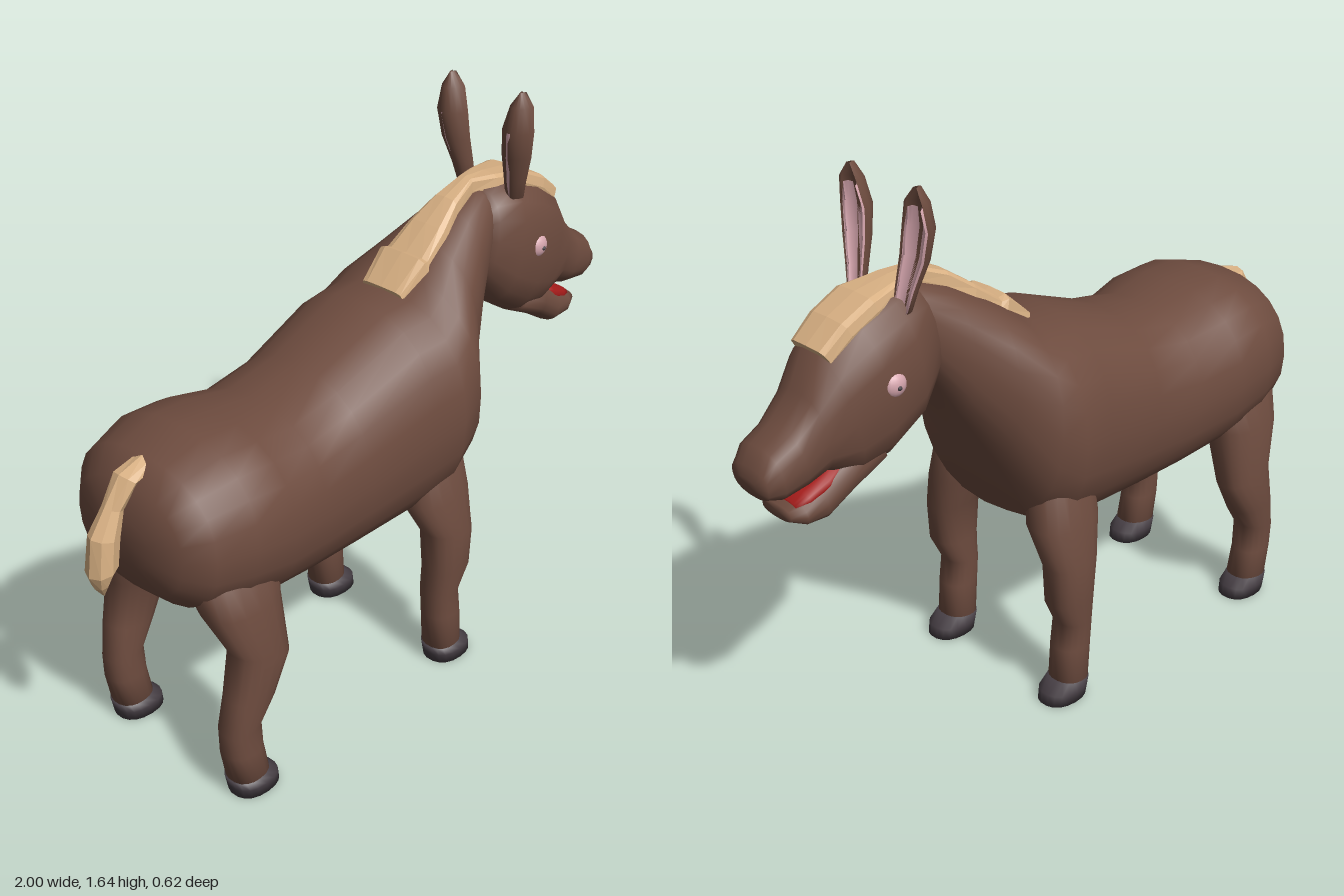
import * as THREE from 'three';

const paint = (name, color, flat = false) => {
  const m = new THREE.MeshStandardMaterial({ color, flatShading: flat });
  m.name = name;
  return m;
};

// Loft through rings. Each row: [ax, ay, bx, by, halfWidth, zCentre];
// a and b are opposite ends of the ring in the side plane.
// power squares the ring off; cup folds the b half inwards into a hollow.
function loft(rows, { sides = 18, power = 2.3, cup = 0 } = {}) {
  const pos = [], idx = [];
  const bend = (v) => Math.sign(v) * Math.abs(v) ** (2 / power);
  for (const [ax, ay, bx, by, w, zc = 0] of rows) {
    for (let i = 0; i < sides; i++) {
      const t = (i / sides) * Math.PI * 2;
      let v = bend(Math.sin(t));
      if (cup && v < 0) v *= -cup;
      pos.push((ax + bx) / 2 + ((ax - bx) / 2) * v, (ay + by) / 2 + ((ay - by) / 2) * v, zc + w * bend(Math.cos(t)));
    }
  }
  const last = (rows.length - 1) * sides, c0 = rows.length * sides;
  for (const [ax, ay, bx, by, , zc = 0] of [rows[0], rows[rows.length - 1]]) {
    const k = cup ? (1 + cup) / 2 : 0;
    pos.push((ax + bx) / 2 + ((ax - bx) / 2) * k, (ay + by) / 2 + ((ay - by) / 2) * k, zc);
  }
  for (let i = 0; i < sides; i++) {
    const j = (i + 1) % sides;
    for (let r = 0; r < last; r += sides) {
      idx.push(r + i, r + sides + i, r + sides + j, r + i, r + sides + j, r + j);
    }
    idx.push(c0, i, j, c0 + 1, last + j, last + i);
  }
  const g = new THREE.BufferGeometry();
  g.setAttribute('position', new THREE.Float32BufferAttribute(pos, 3));
  g.setIndex(idx);
  g.computeVertexNormals();
  return g;
}

export function createModel() {
  const group = new THREE.Group();
  const coat = paint('brownCoat', 0x6e4c3f);
  const hair = paint('sandyHair', 0xd8b083, true);
  const pink = paint('pinkSkin', 0xd6a6ae);
  const horn = paint('darkHoof', 0x463e44);
  const red = paint('redMouth', 0xa51c1a);
  const add = (name, geometry, material) => {
    const m = new THREE.Mesh(geometry, material);
    m.name = name;
    group.add(m);
    return m;
  };

  // Barrel, chest and neck
  add('body', loft([
    [-0.885, 0.86, -0.88, 0.72, 0.1],
    [-0.86, 0.95, -0.86, 0.64, 0.2],
    [-0.8, 1.01, -0.8, 0.58, 0.265],
    [-0.68, 1.045, -0.7, 0.55, 0.3],
    [-0.56, 1.04, -0.56, 0.52, 0.305],
    [-0.42, 1.015, -0.4, 0.49, 0.275],
    [-0.25, 1.05, -0.22, 0.48, 0.272],
    [0, 1.145, -0.02, 0.49, 0.3],
    [0.1, 1.15, 0.1, 0.515, 0.31],
    [0.16, 1.19, 0.2, 0.58, 0.295],
    [0.25, 1.25, 0.27, 0.76, 0.215],
    [0.36, 1.31, 0.36, 0.92, 0.15],
    [0.46, 1.345, 0.44, 1.07, 0.1],
    [0.52, 1.33, 0.52, 1.14, 0.09],
  ], { sides: 24 }), coat);

  // Skull running into the upper muzzle
  add('head', loft([
    [0.44, 1.28, 0.42, 1.12, 0.06],
    [0.475, 1.345, 0.435, 1.06, 0.12],
    [0.57, 1.355, 0.5, 0.97, 0.148],
    [0.68, 1.315, 0.6, 0.905, 0.145],
    [0.78, 1.245, 0.69, 0.885, 0.127],
    [0.83, 1.15, 0.79, 0.925, 0.107],
    [0.9, 1.08, 0.855, 0.905, 0.096],
    [0.96, 1.045, 0.93, 0.895, 0.092],
    [0.99, 1.0, 0.978, 0.91, 0.075],
    [0.998, 0.97, 0.993, 0.935, 0.04],
  ], { power: 2.5 }), coat);
  add('lowerJaw', loft([
    [0.66, 1.0, 0.61, 0.9, 0.1],
    [0.74, 0.96, 0.72, 0.845, 0.095],
    [0.82, 0.905, 0.8, 0.795, 0.086],
    [0.88, 0.875, 0.865, 0.8, 0.08],
    [0.912, 0.862, 0.912, 0.823, 0.06],
  ], { power: 2.6 }), coat);
  add('tongue', loft([
    [0.72, 0.97, 0.7, 0.9, 0.07],
    [0.8, 0.926, 0.79, 0.87, 0.076],
    [0.86, 0.897, 0.85, 0.85, 0.07],
    [0.893, 0.877, 0.89, 0.84, 0.055],
  ], { power: 3 }), red);

  // Mane with forelock
  add('mane', loft([
    [0.085, 1.158, 0.1, 1.12, 0.075],
    [0.17, 1.235, 0.2, 1.16, 0.088],
    [0.19, 1.228, 0.22, 1.17, 0.08],
    [0.27, 1.29, 0.3, 1.21, 0.068],
    [0.35, 1.345, 0.36, 1.26, 0.045],
    [0.44, 1.38, 0.44, 1.3, 0.028],
    [0.52, 1.375, 0.51, 1.3, 0.055],
    [0.63, 1.36, 0.61, 1.29, 0.08],
    [0.72, 1.318, 0.69, 1.25, 0.078],
    [0.79, 1.262, 0.75, 1.2, 0.072],
  ], { sides: 12, power: 4 }), hair);

  // Tail, curving out and down to a tuft
  add('tail', loft([
    [-0.78, 0.95, -0.79, 1.012, 0.035],
    [-0.84, 0.95, -0.88, 0.985, 0.04],
    [-0.88, 0.89, -0.935, 0.91, 0.028],
    [-0.9, 0.82, -0.985, 0.84, 0.04],
    [-0.915, 0.75, -1.0, 0.73, 0.045],
    [-0.945, 0.71, -0.985, 0.69, 0.03],
    [-0.958, 0.66, -0.962, 0.66, 0.006],
  ], { sides: 8, power: 2 }), hair);

  const hindLeg = [
    [-0.52, 0.8, -0.82, 0.75, 0.08, 0.17],
    [-0.56, 0.6, -0.8, 0.6, 0.085, 0.205],
    [-0.565, 0.42, -0.745, 0.47, 0.065, 0.245],
    [-0.62, 0.31, -0.77, 0.33, 0.058, 0.245],
    [-0.67, 0.24, -0.785, 0.22, 0.055, 0.24],
    [-0.663, 0.15, -0.785, 0.15, 0.052, 0.24],
    [-0.645, 0.05, -0.765, 0.05, 0.055, 0.24],
  ];
  const frontLeg = [
    [0.18, 0.8, -0.02, 0.75, 0.08, 0.17],
    [0.205, 0.57, -0.02, 0.57, 0.08, 0.205],
    [0.185, 0.45, 0.02, 0.47, 0.065, 0.245],
    [0.178, 0.33, 0.03, 0.33, 0.06, 0.245],
    [0.137, 0.25, 0.033, 0.25, 0.055, 0.24],
    [0.15, 0.17, 0.035, 0.17, 0.053, 0.24],
    [0.155, 0.05, 0.045, 0.05, 0.055, 0.24],
  ];
  const hoof = (x) => [
    [x + 0.115, 0.065, x - 0.005, 0.055, 0.056, 0.24],
    [x + 0.15, 0.035, x, 0.03, 0.06, 0.24],
    [x + 0.155, 0, x + 0.006, 0, 0.058, 0.24],
  ];
  // Ear rows: height, back x, rim x, half width, z centre
  const ear = [
    [1.31, 0.525, 0.56, 0.028, 0.09],
    [1.37, 0.51, 0.55, 0.035, 0.098],
    [1.45, 0.485, 0.535, 0.046, 0.112],
    [1.53, 0.473, 0.528, 0.049, 0.12],
    [1.6, 0.487, 0.535, 0.034, 0.125],
    [1.64, 0.51, 0.53, 0.006, 0.127],
  ];
  const earLining = [...ear.slice(0, 4), [1.585, 0.485, 0.532, 0.03, 0.124]];
  const earRows = (rows, k) => rows.map(([y, back, rim, w, z]) => [back, y, 2 * rim - back, y, w * k, z]);
  const onSide = (rows, s) => rows.map((r) => [...r.slice(0, 5), r[5] * s]);

  for (const [side, s] of [['left', -1], ['right', 1]]) {
    add(side + 'HindLeg', loft(onSide(hindLeg, s)), coat);
    add(side + 'FrontLeg', loft(onSide(frontLeg, s)), coat);
    add(side + 'HindHoof', loft(onSide(hoof(-0.765), s)), horn);
    add(side + 'FrontHoof', loft(onSide(hoof(0.045), s)), horn);
    add(side + 'Ear', loft(onSide(earRows(ear, 1), s), { power: 2, cup: 0.4 }), coat);
    add(side + 'EarLining', loft(onSide(earRows(earLining, 0.8), s), { power: 2, cup: 0.4 }), pink);

    // Eye with a tiny pupil
    const eye = add(side + 'Eye', new THREE.SphereGeometry(0.036, 16, 12), pink);
    eye.position.set(0.62, 1.143, s * 0.13);
    eye.scale.z = 0.7;
    const pupil = add(side + 'Pupil', new THREE.SphereGeometry(0.007, 8, 6), horn);
    pupil.position.set(0.622, 1.14, s * 0.153);
  }
  return group;
}
